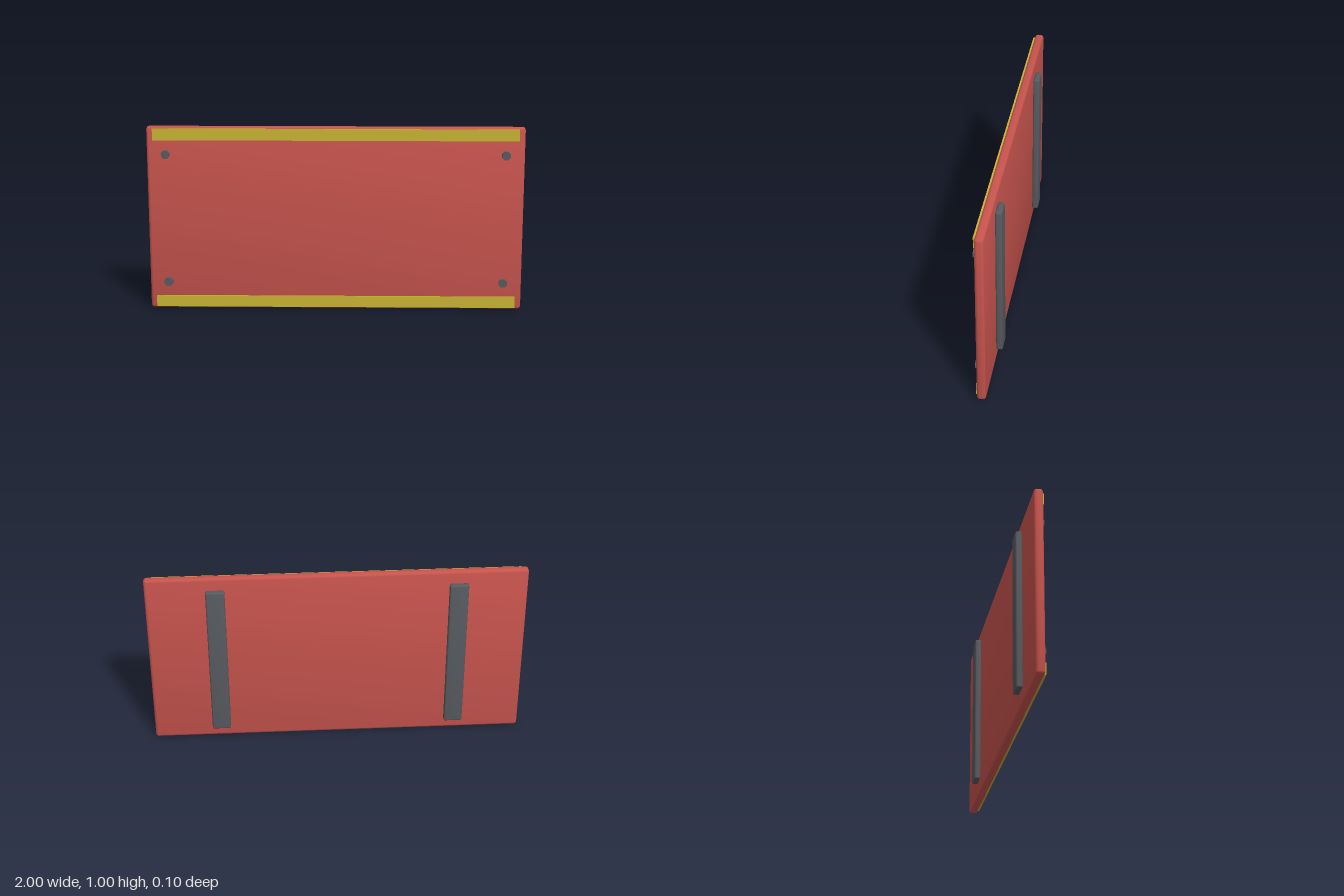
import * as THREE from 'three';
import { RoundedBoxGeometry } from 'three/addons/geometries/RoundedBoxGeometry.js';

const material = (name, color) => new THREE.MeshStandardMaterial({ name, color });

// Box with softened edges whose normals lean slightly outward at the corners
function softBox(w, h, d, radius, lean) {
  const geometry = new RoundedBoxGeometry(w, h, d, 1, radius);
  const position = geometry.attributes.position;
  const normal = geometry.attributes.normal;
  const n = new THREE.Vector3();
  for (let i = 0; i < position.count; i++) {
    n.fromBufferAttribute(normal, i);
    n.x += lean * Math.sign(position.getX(i));
    n.y += lean * Math.sign(position.getY(i));
    n.z += lean * Math.sign(position.getZ(i));
    n.normalize();
    normal.setXYZ(i, n.x, n.y, n.z);
  }
  return geometry;
}

export function createModel() {
  const red = material('red paint', 0xc9544e);
  const yellow = material('yellow paint', 0xc8b432);
  const grey = material('dark metal', 0x585b60);

  const model = new THREE.Group();
  model.name = 'signBoard';
  const add = (name, geometry, mat, x, y, z) => {
    const mesh = new THREE.Mesh(geometry, mat);
    mesh.name = name;
    mesh.position.set(x, y, z);
    model.add(mesh);
    return mesh;
  };

  // Main panel
  add('panel', softBox(2, 0.996, 0.047, 0.014, 0.15), red, 0, 0.502, 0.0085);

  // Stripes along the top and bottom of the front
  const stripe = new THREE.BoxGeometry(1.935, 0.062, 0.009);
  add('bottomStripe', stripe, yellow, 0, 0.044, 0.0355);
  add('topStripe', stripe, yellow, 0, 0.96, 0.0355);

  // Eight-sided bolt heads near the corners, mounting rails on the back
  const bolt = new THREE.CylinderGeometry(0.024, 0.024, 0.022, 8).toNonIndexed();
  bolt.computeVertexNormals();
  bolt.rotateY(Math.PI / 8).rotateX(Math.PI / 2);
  const rail = softBox(0.1, 0.865, 0.034, 0.008, 0.1);
  for (const side of [-1, 1]) {
    const label = side > 0 ? 'left' : 'right';
    add(label + 'BottomBolt', bolt, grey, side * 0.9, 0.153, 0.04);
    add(label + 'TopBolt', bolt, grey, side * 0.9, 0.852, 0.04);
    add(label + 'Rail', rail, grey, side * 0.635, 0.502, -0.032);
  }
  return model;
}
